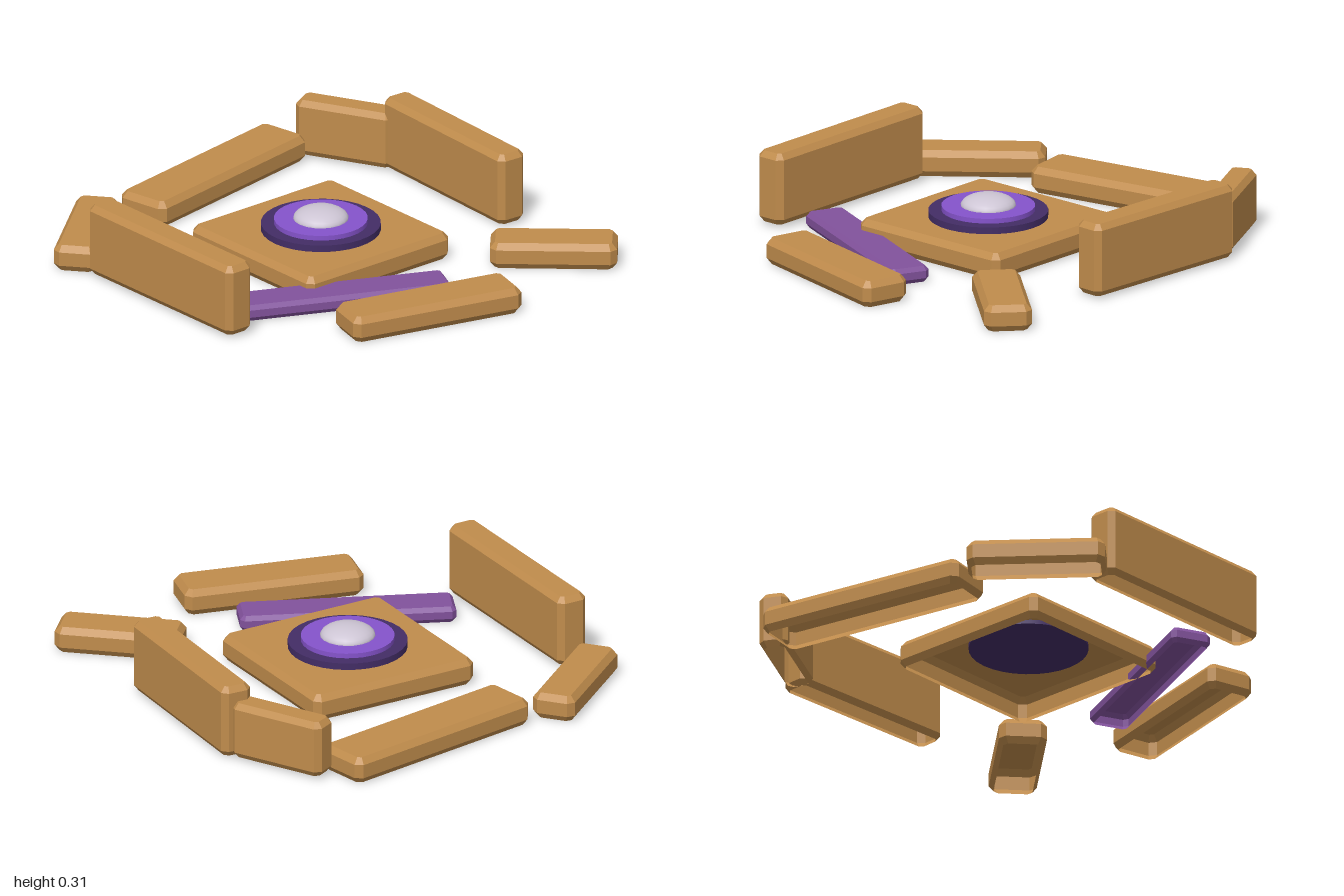
import * as THREE from 'three';

const mat = (name, color, side = THREE.FrontSide, flatShading = false) => {
  const m = new THREE.MeshStandardMaterial({ color, side, flatShading });
  m.name = name;
  return m;
};

// Octagonal outline: a rectangle with clipped corners
function outline(l, w, y, c) {
  const x = l / 2, z = w / 2;
  return [[x - c, -z], [x, -z + c], [x, z - c], [x - c, z],
    [-x + c, z], [-x, z - c], [-x, -z + c], [-x + c, -z]].map(([a, b]) => [a, y, b]);
}

// Hollow stone slab with bevelled edges and an open underside
function slabGeometry(l, h, w, b) {
  const rings = [
    outline(l - b * 1.4, w - b * 1.4, 0, b * 0.7),
    outline(l, w, b, b),
    outline(l, w, h - b, b),
    outline(l - b * 1.6, w - b * 1.6, h, b * 0.5),
  ];
  const pos = [];
  const tri = (p, q, r) => pos.push(...p, ...q, ...r);
  for (let k = 0; k < 3; k++) {
    for (let i = 0; i < 8; i++) {
      const j = (i + 1) % 8, lo = rings[k], hi = rings[k + 1];
      tri(lo[i], hi[i], hi[j]);
      tri(lo[i], hi[j], lo[j]);
    }
  }
  const top = rings[3];
  for (let i = 1; i < 7; i++) tri(top[0], top[i + 1], top[i]);
  const g = new THREE.BufferGeometry();
  g.setAttribute('position', new THREE.Float32BufferAttribute(pos, 3));
  g.computeVertexNormals();
  return g;
}

export function createModel() {
  const model = new THREE.Group();
  model.name = 'ruinedShrine';
  const stone = mat('sandstone', 0xc08c4c, THREE.DoubleSide, true);
  const plum = mat('plumStone', 0x82529c, THREE.DoubleSide, true);
  const dark = mat('darkPurple', 0x432d66);
  const violet = mat('violet', 0x8553cc);
  const pearl = mat('pearl', 0xcdc5d4);

  // name, material, x, y, z, length, height, width, turn in plan (degrees), bevel
  const slabs = [
    ['centrePlatform', stone, 0.007, 0, -0.002, 0.755, 0.112, 0.755, 0, 0.026],
    ['frontSlab', stone, -0.103, 0, 0.80, 0.755, 0.11, 0.21, 14.8, 0.026],
    ['frontLeftSlab', stone, 0.677, 0, 0.667, 0.515, 0.11, 0.195, 42.3, 0.026],
    ['backSlab', stone, 0.122, 0, -0.804, 0.935, 0.11, 0.235, -10.3, 0.026],
    ['backRightSlab', stone, -0.659, 0, -0.677, 0.56, 0.11, 0.18, -39.2, 0.026],
    ['rightWall', stone, -0.793, 0.015, -0.002, 0.89, 0.3, 0.133, 90, 0.024],
    ['leftWall', stone, 0.812, 0.01, -0.114, 0.795, 0.305, 0.132, 93, 0.024],
    ['backLeftWall', stone, 0.722, 0.012, -0.669, 0.425, 0.238, 0.12, 63, 0.024],
    ['fallenPlank', plum, -0.254, 0, 0.442, 0.88, 0.067, 0.17, 24.6, 0.018],
  ];
  for (const [name, m, x, y, z, l, h, w, turn, b] of slabs) {
    const mesh = new THREE.Mesh(slabGeometry(l, h, w, b), m);
    mesh.name = name;
    mesh.position.set(x, y, z);
    mesh.rotation.y = -THREE.MathUtils.degToRad(turn);
    model.add(mesh);
  }

  // Round emblem stacked on the platform
  const emblem = new THREE.Group();
  emblem.name = 'emblem';
  emblem.position.x = 0.007;
  const disc = (name, m, rTop, rBottom, y0, y1) => {
    const mesh = new THREE.Mesh(new THREE.CylinderGeometry(rTop, rBottom, y1 - y0, 32), m);
    mesh.name = name;
    mesh.position.y = (y0 + y1) / 2;
    emblem.add(mesh);
  };
  disc('baseDisc', dark, 0.243, 0.243, 0.095, 0.14);
  disc('violetDisc', violet, 0.19, 0.19, 0.13, 0.16);

  // Flattened pearl dome
  const dome = new THREE.Mesh(
    new THREE.SphereGeometry(0.113, 20, 8, 0, Math.PI * 2, 0, Math.PI / 2), pearl);
  dome.name = 'pearlDome';
  dome.scale.y = 0.43;
  dome.position.y = 0.158;
  emblem.add(dome);
  model.add(emblem);
  return model;
}
